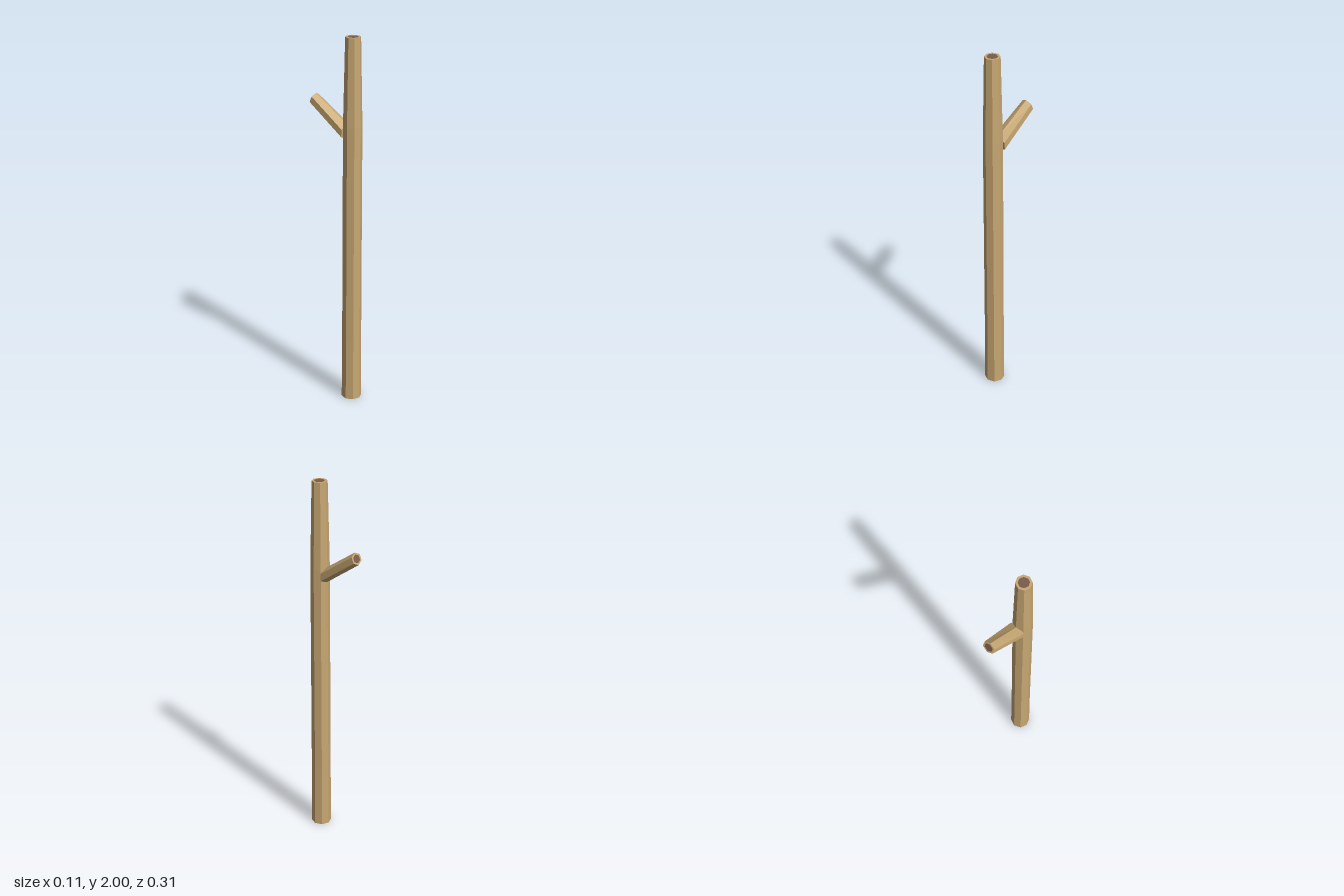
import * as THREE from 'three';

const V = (x, y, z) => new THREE.Vector3(x, y, z);

// Ring of n corners around centre c, spanned by half-axes u and v
const ring = (n, c, u, v) => Array.from({ length: n }, (_, i) => {
  const a = (i / n) * Math.PI * 2;
  return c.clone().addScaledVector(u, Math.cos(a)).addScaledVector(v, Math.sin(a));
});

const centre = (r) => r.reduce((s, p) => s.add(p), V(0, 0, 0)).divideScalar(r.length);
const inset = (r, k) => { const c = centre(r); return r.map((p) => c.clone().lerp(p, k)); };

function meshOf(name, points, color) {
  const geometry = new THREE.BufferGeometry().setFromPoints(points);
  geometry.computeVertexNormals();
  const mesh = new THREE.Mesh(geometry, new THREE.MeshStandardMaterial({ color, flatShading: true }));
  mesh.name = name;
  return mesh;
}

// Faceted limb through the rings, with a bark rim and a dark heart on its cut end
function limb(name, rings) {
  const inner = inset(rings.at(-1), 0.7);
  const all = [...rings, inner];
  const n = inner.length, bark = [], heart = [];
  const base = centre(rings[0]), tip = centre(inner);
  for (let i = 0; i < n; i++) {
    const j = (i + 1) % n;
    for (let k = 0; k + 1 < all.length; k++) {
      const a = all[k], b = all[k + 1];
      bark.push(a[i], a[j], b[j], a[i], b[j], b[i]);
    }
    bark.push(base, rings[0][j], rings[0][i]);
    heart.push(tip, inner[i], inner[j]);
  }
  const group = new THREE.Group();
  group.name = name;
  group.add(meshOf(name + 'Bark', bark, 0xc8a873), meshOf(name + 'Heartwood', heart, 0x795c4c));
  return group;
}

export function createModel() {
  const model = new THREE.Group();
  model.name = 'woodenPost';

  // Eight-sided trunk, tapering near the top: [height, radius]
  const profile = [[0, 0.054], [0.36, 0.052], [1.54, 0.05], [2, 0.04]];
  model.add(limb('trunk', profile.map(([y, r]) => ring(8, V(0, y, 0.1), V(0, 0, r), V(r, 0, 0)))));

  // Six-sided branch stub rising toward the back, its root sunk into the trunk
  model.add(limb('branch', [
    ring(6, V(0, 1.505, 0.06), V(0, 0.039, 0.003), V(0.049, 0, 0)),
    ring(6, V(0, 1.648, -0.142), V(0, 0.03, 0.013), V(0.036, 0, 0)),
  ]));
  return model;
}
